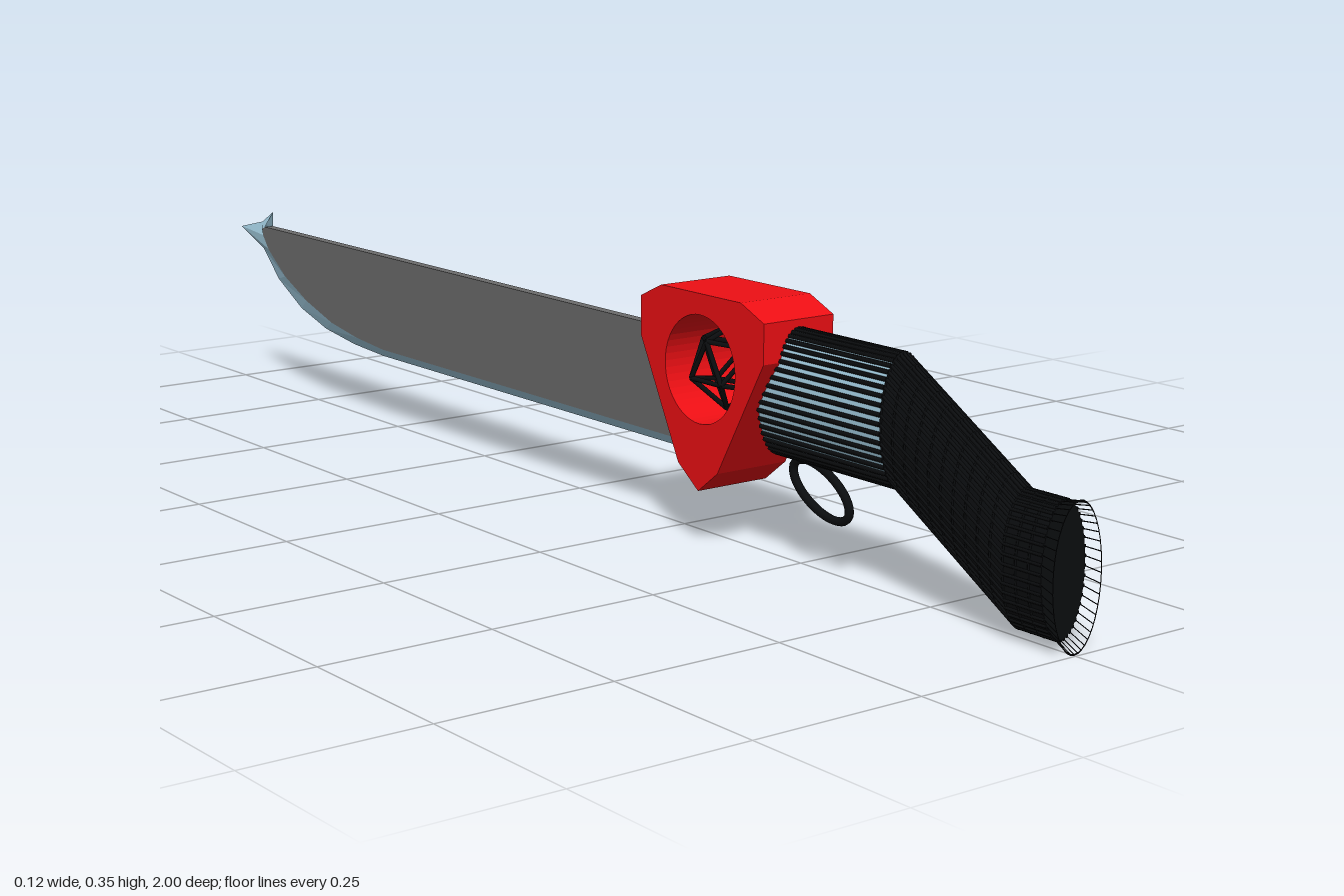
import * as THREE from 'three';
import { mergeGeometries } from 'three/addons/utils/BufferGeometryUtils.js';

const mat = (color, extra = {}) => new THREE.MeshStandardMaterial({ color, ...extra });
const V = (x, y, z) => new THREE.Vector3(x, y, z);

function add(group, name, geometry, material) {
  const mesh = new THREE.Mesh(geometry, material);
  mesh.name = name;
  group.add(mesh);
  return mesh;
}

// Thin rod between two points
function rod(a, b, r, sides = 5) {
  const d = b.clone().sub(a);
  const g = new THREE.CylinderGeometry(r, r, d.length(), sides);
  g.applyQuaternion(new THREE.Quaternion().setFromUnitVectors(V(0, 1, 0), d.normalize()));
  return g.translate(...a.clone().add(b).multiplyScalar(0.5).toArray());
}

// Slab with a side outline given as [z, y], centred on x = 0
function slab(outline, width, hole) {
  const shape = new THREE.Shape(outline.map(([z, y]) => new THREE.Vector2(-z, y)));
  if (hole) shape.holes.push(new THREE.Path().absarc(-hole[0], hole[1], hole[2], 0, Math.PI * 2, true));
  return new THREE.ExtrudeGeometry(shape, { depth: width, bevelEnabled: false, curveSegments: 24 })
    .translate(0, 0, -width / 2).rotateY(Math.PI / 2);
}

// Point on an upright elliptical section [z, centre y, half width, half height]
const onSection = ([z, y, rx, ry], a, s = 1) => V(Math.cos(a) * rx * s, y + Math.sin(a) * ry * s, z);

// Closed solid through a row of elliptical sections
function loft(sections, sides = 40) {
  const pos = [], tri = (...p) => p.forEach((v) => pos.push(v.x, v.y, v.z));
  const first = sections[0], last = sections[sections.length - 1];
  for (let i = 0; i < sides; i++) {
    const a = (i / sides) * Math.PI * 2, b = ((i + 1) / sides) * Math.PI * 2;
    for (let k = 0; k < sections.length - 1; k++) {
      const p = onSection(sections[k], a), q = onSection(sections[k], b);
      const r = onSection(sections[k + 1], b), s = onSection(sections[k + 1], a);
      tri(p, q, r);
      tri(p, r, s);
    }
    tri(V(0, last[1], last[0]), onSection(last, a), onSection(last, b));
    tri(V(0, first[1], first[0]), onSection(first, b), onSection(first, a));
  }
  const g = new THREE.BufferGeometry();
  g.setAttribute('position', new THREE.Float32BufferAttribute(pos, 3));
  g.computeVertexNormals();
  return g;
}

export function createModel() {
  const model = new THREE.Group();
  model.name = 'machete';
  const red = mat(0xee0f14, { flatShading: true });
  const black = mat(0x0b0d0f);
  const steel = mat(0x6c6c6c, { flatShading: true });
  const pale = mat(0xa5cfe3, { flatShading: true, side: THREE.DoubleSide });

  // Shield-shaped guard with a round window
  const window_ = [0.355, 0.247, 0.075];
  add(model, 'guard', slab([
    [0.395, 0.11], [0.354, 0.078], [0.31, 0.11], [0.225, 0.275], [0.225, 0.33],
    [0.27, 0.351], [0.44, 0.351], [0.488, 0.33], [0.488, 0.275],
  ], 0.12, window_), red);

  // Twenty-sided wire ornament in the window, a corner pointing up
  const ico = new THREE.EdgesGeometry(new THREE.IcosahedronGeometry(0.061));
  ico.applyQuaternion(new THREE.Quaternion().setFromUnitVectors(V(1, 1, 1).normalize(), V(1, 0, 0)));
  const p = ico.attributes.position;
  let roll = 0, far = 0;
  for (let i = 0; i < p.count; i++) {
    const r = Math.hypot(p.getY(i), p.getZ(i));
    if (r > far + 1e-4) { far = r; roll = Math.atan2(p.getZ(i), p.getY(i)); }
  }
  ico.rotateX(-roll).translate(0, window_[1], window_[0]);
  const edges = [];
  for (let i = 0; i < p.count; i += 2) {
    edges.push(rod(V().fromBufferAttribute(p, i), V().fromBufferAttribute(p, i + 1), 0.0035, 6));
  }
  add(model, 'windowOrnament', mergeGeometries(edges), black);

  // Blade: flat body, then a ground edge between the body line and the sharp line
  const thick = 0.016;
  const bodyLine = [[0.31, 0.123], [-0.53, 0.123], [-0.61, 0.13], [-0.69, 0.143], [-0.77, 0.168],
    [-0.84, 0.2], [-0.895, 0.24], [-0.912, 0.262], [-0.915, 0.272], [-0.905, 0.277]];
  const sharpLine = [[0.31, 0.11], [-0.54, 0.11], [-0.63, 0.115], [-0.72, 0.127], [-0.8, 0.15],
    [-0.875, 0.19], [-0.925, 0.237], [-1, 0.266], [-0.927, 0.283], [-0.89, 0.304]];
  add(model, 'bladeBody', slab([[0.25, 0.277], ...bodyLine], thick), steel);

  const strip = [];
  const quad = (a, b, c, d) => [a, b, c, a, c, d].forEach((v) => strip.push(...v));
  for (const x of [thick / 2, -thick / 2]) {
    for (let i = 0; i < bodyLine.length - 1; i++) {
      const at = (line, k, px) => [px, line[k][1], line[k][0]];
      const q = [at(bodyLine, i, x), at(bodyLine, i + 1, x), at(sharpLine, i + 1, 0), at(sharpLine, i, 0)];
      quad(...(x > 0 ? q.reverse() : q));
    }
  }
  const edge = new THREE.BufferGeometry();
  edge.setAttribute('position', new THREE.Float32BufferAttribute(strip, 3));
  edge.computeVertexNormals();
  add(model, 'bladeEdge', edge, pale);

  // Handle core: pale straight neck, dark bent grip
  const path = [[0.45, 0.23, 0.037, 0.087], [0.69, 0.23, 0.037, 0.087],
    [0.91, 0.1, 0.037, 0.087], [0.975, 0.1, 0.037, 0.087]];
  const hem = [0.998, 0.096, 0.041, 0.095];
  add(model, 'handleNeck', loft(path.slice(0, 2)), pale);
  add(model, 'handleGrip', loft(path.slice(1)), black);

  // Lengthwise cords over the core, fraying past the butt
  const cords = [], fringe = [];
  const count = 44;
  for (let i = 0; i < count; i++) {
    const a = (i / count) * Math.PI * 2;
    for (let k = 0; k < 3; k++) {
      cords.push(rod(onSection(path[k], a), onSection(path[k + 1], a), k ? 0.0025 : 0.0036));
    }
    fringe.push(rod(onSection(path[3], a), onSection(hem, a), 0.0007, 4));
  }
  add(model, 'handleCords', mergeGeometries(cords), black);

  // Cross rings round the bent grip and the frayed hem
  const ring = ([z, y, rx, ry], r) => new THREE.TorusGeometry(1, r / 0.06, 4, 40)
    .scale(rx, ry, 0.06).translate(0, y, z);
  const rings = [];
  for (let k = 1; k < 3; k++) {
    const n = k === 1 ? 10 : 3;
    for (let i = 0; i < n; i++) {
      rings.push(ring(path[k].map((v, j) => THREE.MathUtils.lerp(v, path[k + 1][j], i / n)), 0.002));
    }
  }
  add(model, 'gripRings', mergeGeometries(rings), black);
  fringe.push(ring(hem, 0.0008));
  add(model, 'buttFringe', mergeGeometries(fringe), black);

  // Finger ring under the neck
  const loop = [];
  for (let i = 0; i < 24; i++) {
    const a = (i / 24) * Math.PI * 2, s = Math.cos(a) * 0.06, t = Math.sin(a) * 0.028;
    loop.push(V(0, 0.108 - s * 0.4 + t * 0.92, 0.538 + s * 0.92 + t * 0.4));
  }
  add(model, 'fingerRing', new THREE.TubeGeometry(new THREE.CatmullRomCurve3(loop, true), 48, 0.006, 8, true), black);

  return model;
}
